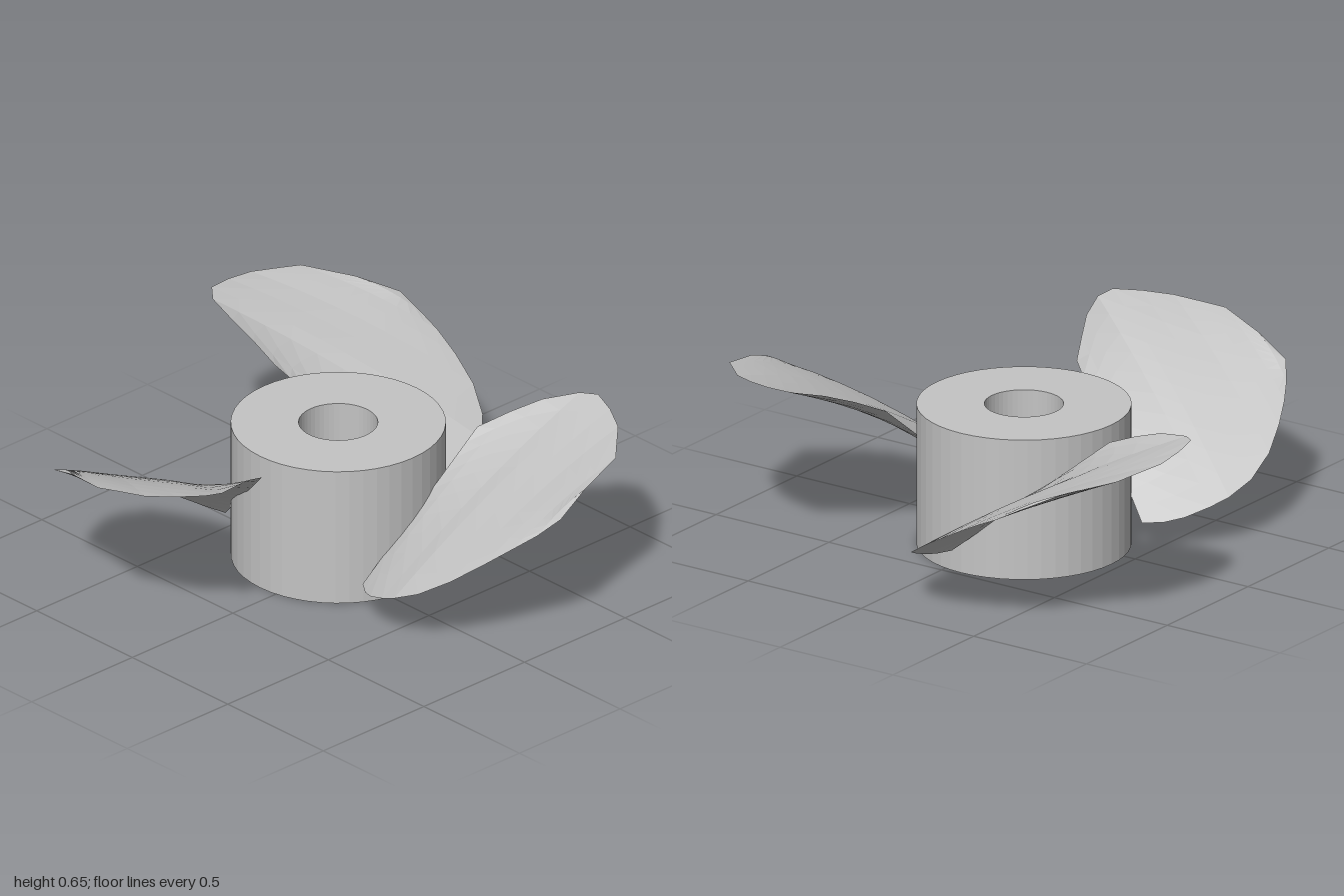
import * as THREE from 'three';

const HUB = { x: -0.075, z: -0.095, radius: 0.388, bore: 0.143, height: 0.535 };

// Blade slices along its span: [span, lead z, lead y, trail z, trail y, camber]
const SLICES = [
  [0.365, 0.225, 0.095, -0.345, 0.53, 0],
  [0.43, 0.275, 0.105, -0.445, 0.58, 0.008],
  [0.495, 0.31, 0.125, -0.545, 0.62, 0.015],
  [0.585, 0.335, 0.16, -0.645, 0.645, 0.025],
  [0.655, 0.345, 0.19, -0.67, 0.655, 0.03],
  [0.755, 0.32, 0.235, -0.635, 0.645, 0.03],
  [0.855, 0.255, 0.3, -0.58, 0.632, 0.025],
  [0.935, 0.165, 0.367, -0.497, 0.62, 0.018],
  [0.995, 0.08, 0.422, -0.435, 0.61, 0.012],
  [1.04, 0, 0.465, -0.24, 0.57, 0.005],
  [1.075, -0.085, 0.515, -0.085, 0.515, 0],
];

// Split all faces apart so every facet is flat
function faceted(geometry) {
  const flat = geometry.toNonIndexed();
  flat.computeVertexNormals();
  return flat;
}

// Thin cambered blade: upper and lower skins meeting at the rim
function bladeGeometry() {
  const steps = 10;
  const row = steps + 1;
  const skin = SLICES.length * row;
  const positions = [];
  const index = [];
  for (const side of [1, -1]) {
    SLICES.forEach(([u, leadZ, leadY, trailZ, trailY, camber], i) => {
      const half = i === 0 || i === SLICES.length - 1 ? 0 : 0.007;
      for (let j = 0; j <= steps; j++) {
        const t = j / steps;
        const y = THREE.MathUtils.lerp(leadY, trailY, t) + 4 * camber * t * (1 - t);
        positions.push(u, y + side * half * Math.sin(Math.PI * t), THREE.MathUtils.lerp(leadZ, trailZ, t));
      }
    });
  }
  for (let i = 0; i < SLICES.length - 1; i++) {
    for (let j = 0; j < steps; j++) {
      const a = i * row + j;
      const b = a + row;
      const last = i === SLICES.length - 2;
      const tris = last ? [[a, b, a + 1]] : [[a, b, a + 1], [b, b + 1, a + 1]];
      for (const [p, q, r] of tris) {
        index.push(p, q, r, p + skin, r + skin, q + skin);
      }
    }
  }
  const geometry = new THREE.BufferGeometry();
  geometry.setAttribute('position', new THREE.Float32BufferAttribute(positions, 3));
  geometry.setIndex(index);
  return faceted(geometry);
}

export function createModel() {
  const model = new THREE.Group();
  model.name = 'propeller';
  const grey = new THREE.MeshStandardMaterial({ color: 0xc4c4c4, side: THREE.DoubleSide });
  grey.name = 'light grey';

  const rotor = new THREE.Group();
  rotor.name = 'rotor';
  rotor.position.set(HUB.x, 0, HUB.z);
  model.add(rotor);

  // Hub: cylinder with a through bore
  const profile = [
    [HUB.bore, 0], [HUB.radius, 0], [HUB.radius, HUB.height], [HUB.bore, HUB.height], [HUB.bore, 0],
  ].map(([r, y]) => new THREE.Vector2(r, y));
  const hub = new THREE.Mesh(faceted(new THREE.LatheGeometry(profile, 48)), grey);
  hub.name = 'hub';
  rotor.add(hub);

  // Three equal blades around the hub
  const geometry = bladeGeometry();
  for (let i = 0; i < 3; i++) {
    const blade = new THREE.Mesh(geometry, grey);
    blade.name = `blade${i + 1}`;
    blade.rotation.y = (i * 2 * Math.PI) / 3;
    rotor.add(blade);
  }
  return model;
}
